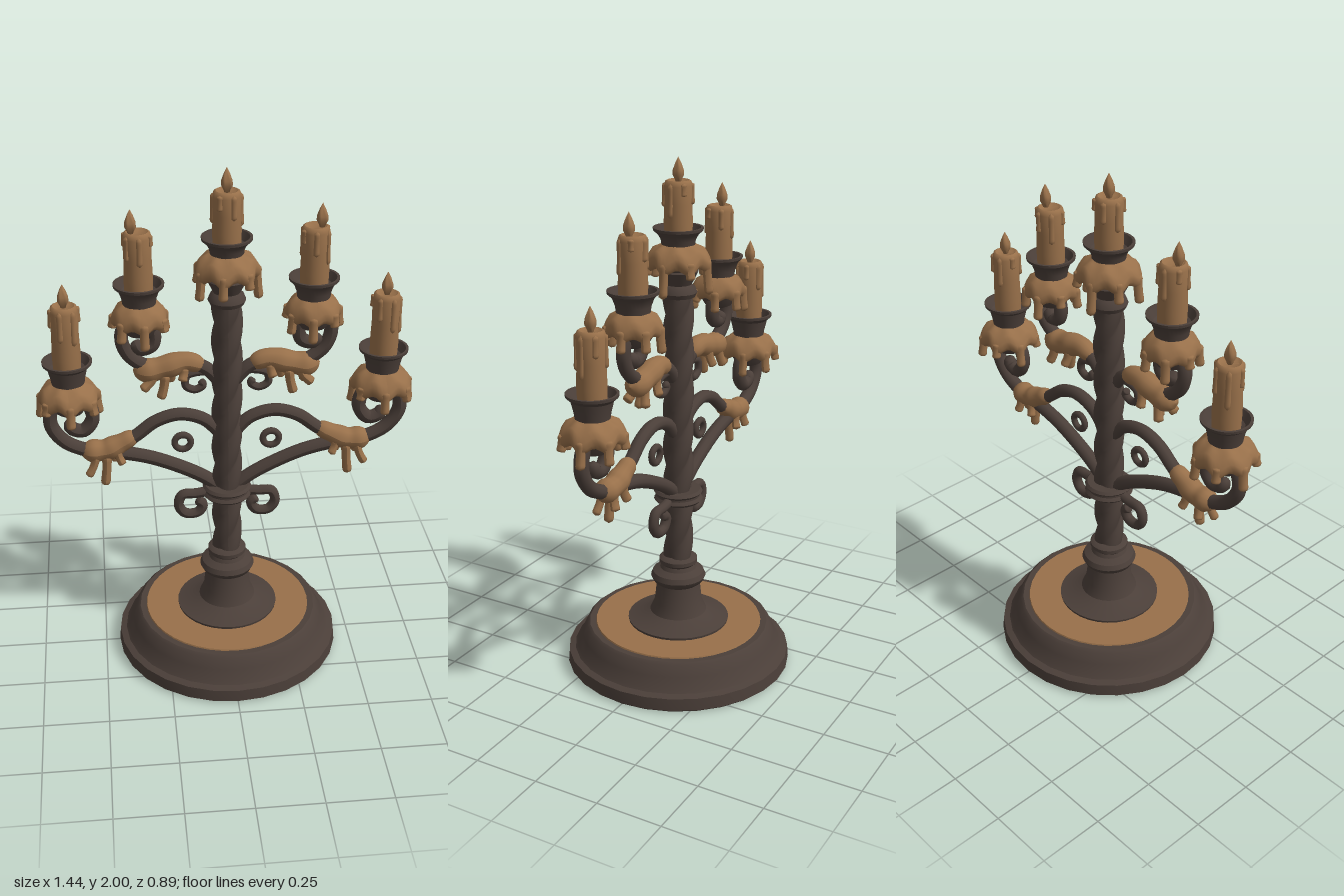
import * as THREE from 'three';
import { toCreasedNormals } from 'three/addons/utils/BufferGeometryUtils.js';

const iron = new THREE.MeshStandardMaterial({ color: 0x4b3f39 });
iron.name = 'dark iron';
const wax = new THREE.MeshStandardMaterial({ color: 0x98704a });
wax.name = 'tan wax';

function add(parent, name, geometry, material, x = 0, y = 0, z = 0) {
  const mesh = new THREE.Mesh(geometry, material);
  mesh.name = name;
  mesh.position.set(x, y, z);
  parent.add(mesh);
  return mesh;
}

function lathe(profile, segments = 32, crease = 0.6) {
  const points = profile.map(([r, y]) => new THREE.Vector2(r, y));
  return toCreasedNormals(new THREE.LatheGeometry(points, segments), crease);
}

// Round tube through points, with its radius varied along the length
function sweep(points, radius, steps = 48, sides = 10) {
  const curve = new THREE.CatmullRomCurve3(points.map(([x, y, z = 0]) => new THREE.Vector3(x, y, z)));
  const geo = new THREE.TubeGeometry(curve, steps, 1, sides);
  const pos = geo.attributes.position;
  const p = new THREE.Vector3();
  for (let i = 0; i < pos.count; i++) {
    const t = Math.floor(i / (sides + 1)) / steps;
    const c = curve.getPointAt(t);
    p.fromBufferAttribute(pos, i).sub(c).multiplyScalar(radius(t)).add(c);
    pos.setXYZ(i, p.x, p.y, p.z);
  }
  geo.computeVertexNormals();
  return geo;
}

// Radius rule for a bar with rounded tips
const bar = (r, tip = 0.05) => (t) => {
  const e = Math.min(1, Math.min(t, 1 - t) / tip);
  return r * Math.sqrt(Math.max(0, 1 - (1 - e) ** 2));
};
// Radius rule for a drip that swells towards its end
const dripRadius = (r) => (t) => bar(r, 0.15)(t) * (1.15 - 0.7 * t + 0.65 * t * t);

function drip(parent, from, to, r) {
  const mid = [(from[0] * 2 + to[0]) / 3, (from[1] + to[1]) / 2, (from[2] * 2 + to[2]) / 3];
  add(parent, 'waxDrip', sweep([from, mid, to], dripRadius(r), 14, 8), wax);
}

// Twisted rope-like stem
function twistedStem(bottom, top) {
  const h = top - bottom;
  const geo = new THREE.CylinderGeometry(1, 1, h, 30, 100, true);
  const pos = geo.attributes.position;
  for (let i = 0; i < pos.count; i++) {
    const a = Math.atan2(pos.getZ(i), pos.getX(i));
    const y = pos.getY(i);
    const r = 0.045 + 0.014 * Math.abs(Math.cos(1.5 * (a + y * 14)));
    pos.setXYZ(i, pos.getX(i) * r, y, pos.getZ(i) * r);
  }
  geo.computeVertexNormals();
  return geo;
}

// Uneven wax collar, scalloped around its edge
function waxCollar(radius, phase) {
  const k = radius / 0.12;
  const points = [[0.05, -0.085], [0.085, -0.085], [0.105, -0.09], [0.117, -0.075], [0.116, -0.05],
    [0.1, -0.025], [0.075, -0.01], [0.058, 0]].map(([r, y]) => new THREE.Vector2(r * k, y));
  const geo = new THREE.LatheGeometry(points, 48);
  const pos = geo.attributes.position;
  for (let i = 0; i < pos.count; i++) {
    const x = pos.getX(i), z = pos.getZ(i), r = Math.hypot(x, z);
    const a = Math.atan2(z, x);
    const w = Math.max(0, (r - 0.06) / 0.06);
    const wave = Math.cos(7 * a + phase);
    const s = 1 + w * 0.06 * wave;
    pos.setXYZ(i, x * s, pos.getY(i) - w * 0.014 * wave, z * s);
  }
  geo.computeVertexNormals();
  return geo;
}

// Cup, wax collar, candle and flame; y is the cup rim
function candleHolder(parent, name, x, y, cupDepth, top, o) {
  const g = new THREE.Group();
  g.name = name;
  g.position.set(x, y, 0);
  parent.add(g);
  const d = -cupDepth;
  add(g, 'cup', lathe([[0.025, d - 0.12], [0.05, d - 0.11], [0.082, d - 0.06], [0.085, d - 0.03], [0.06, d],
    [0.064, d + 0.03], [0.075, -0.025], [0.092, -0.01], [0.093, 0], [0.083, 0], [0.066, -0.03], [0.03, -0.045]]), iron);
  add(g, 'waxCollar', waxCollar(o.waxRadius, o.phase), wax, 0, d + 0.015);
  // Drips hang below the scallops
  for (let i = 0; i < 7; i++) {
    const a = (i * 2 * Math.PI - o.phase) / 7;
    const r = o.waxRadius * 0.96;
    const c = Math.cos(a) * r, s = Math.sin(a) * r;
    const len = o.drips[i % o.drips.length];
    drip(g, [c * 0.93, d - 0.035, s * 0.93], [c * 1.02, d - 0.07 - len, s * 1.02], 0.017);
  }
  // Candle with a softened top and runs of wax
  const h = top - y;
  add(g, 'candle', lathe([[0.05, -0.06], [0.053, 0.02], [0.05, h * 0.5], [0.052, h - 0.02], [0.047, h - 0.004],
    [0.04, h], [0.03, h - 0.006], [0, h - 0.008]], 24, 1), wax);
  for (let i = 0; i < 6; i++) {
    const a = i * 1.05 + o.phase, c = Math.cos(a) * 0.047, s = Math.sin(a) * 0.047;
    const end = h * (0.2 + 0.55 * ((i * 0.37 + o.phase * 0.2) % 1));
    drip(g, [c, h - 0.008, s], [c * 1.06, end, s * 1.06], 0.011);
  }
  add(g, 'flame', lathe([[0.008, -0.015], [0.012, 0], [0.021, 0.018], [0.02, 0.035], [0.011, 0.06], [0, 0.082]], 14, 2),
    wax, o.flameX || 0, h);
}

// Arms, scrolls and wax of one side; s is +1 or -1
function buildSide(s) {
  const g = new THREE.Group();
  g.name = s > 0 ? 'leftSide' : 'rightSide';
  const m = (pts) => pts.map(([x, y, z = 0]) => [x * s, y, z]);
  const rod = (name, pts, r, steps = 64) => add(g, name, sweep(m(pts), bar(r, 0.03), steps), iron);

  rod('lowerArm', [[0.02, 0.71], [0.09, 0.765], [0.18, 0.815], [0.3, 0.865], [0.42, 0.893], [0.53, 0.908], [0.62, 0.955],
    [0.665, 1.03], [0.65, 1.105], [0.59, 1.135], [0.525, 1.11], [0.507, 1.045], [0.545, 0.995], [0.59, 1.01], [0.59, 1.045]], 0.027, 110);
  rod('archArm', [[0.02, 0.95], [0.09, 1.02], [0.18, 1.045], [0.27, 1.02], [0.35, 0.96], [0.45, 0.9]], 0.025);
  rod('upperArm', [[0.02, 1.17], [0.08, 1.235], [0.15, 1.26], [0.22, 1.24], [0.3, 1.255], [0.365, 1.305], [0.388, 1.375],
    [0.365, 1.43], [0.31, 1.44], [0.27, 1.4], [0.275, 1.34], [0.32, 1.325], [0.34, 1.36]], 0.026, 100);
  rod('collarScroll', [[0.05, 0.7], [0.12, 0.69], [0.175, 0.685], [0.19, 0.64], [0.165, 0.602], [0.115, 0.603],
    [0.095, 0.638], [0.12, 0.662]], 0.02);
  rod('smallScroll', [[0.04, 1.215], [0.1, 1.22], [0.15, 1.205], [0.155, 1.165], [0.12, 1.147], [0.09, 1.165], [0.1, 1.185]], 0.015);
  add(g, 'ringOrnament', new THREE.TorusGeometry(0.031, 0.013, 10, 24), iron, 0.17 * s, 0.923);

  // Wax spilled over the arms
  const spill = (pts, r) => add(g, 'armWax', sweep(m(pts),
    (t) => bar(r, 0.3)(t) * (0.8 + 0.3 * t + 0.06 * Math.sin(t * 17)), 32, 14), wax);
  const runs = (list) => list.forEach(([a, b, r]) => drip(g, m([a])[0], m([b])[0], r));
  spill([[0.34, 0.968], [0.4, 0.935], [0.46, 0.908], [0.56, 0.905]], 0.044);
  runs([
    [[0.46, 0.9, 0.02], [0.472, 0.76, 0.02], 0.018],
    [[0.44, 0.9, -0.02], [0.425, 0.84, -0.035], 0.017],
    [[0.5, 0.9, 0.025], [0.535, 0.81, 0.035], 0.016],
    [[0.5, 0.9, -0.02], [0.51, 0.83, -0.035], 0.017],
    [[0.42, 0.91, 0.02], [0.4, 0.855, 0.035], 0.016],
  ]);
  spill([[0.08, 1.24], [0.15, 1.265], [0.22, 1.25], [0.29, 1.235], [0.35, 1.24]], 0.046);
  runs([
    [[0.23, 1.23, 0.02], [0.25, 1.125, 0.025], 0.018],
    [[0.27, 1.23, 0.02], [0.32, 1.17, 0.035], 0.019],
    [[0.28, 1.23, -0.02], [0.3, 1.15, -0.035], 0.018],
    [[0.2, 1.24, -0.02], [0.21, 1.17, -0.04], 0.017],
    [[0.16, 1.25, 0.02], [0.17, 1.2, 0.04], 0.017],
  ]);

  candleHolder(g, 'middleCandle', 0.318 * s, 1.585, 0.085, 1.78,
    { waxRadius: 0.105, phase: s > 0 ? 0.6 : 2.5, drips: [0.05, 0.02, 0.07], flameX: 0.022 * s });
  candleHolder(g, 'outerCandle', 0.59 * s, 1.29, 0.1, 1.51,
    { waxRadius: 0.117, phase: s > 0 ? 1.2 : 1.9, drips: [0.07, 0.03, 0.06, 0.02] });
  return g;
}

export function createModel() {
  const model = new THREE.Group();
  model.name = 'candelabra';

  // Stepped base with a ring of pooled wax
  add(model, 'base', lathe([[0, 0], [0.435, 0], [0.444, 0.008], [0.44, 0.055], [0.415, 0.063], [0.405, 0.075], [0.385, 0.115],
    [0.366, 0.155], [0.355, 0.164], [0.32, 0.164], [0, 0.164]], 28, 0.5), iron);
  add(model, 'baseWax', lathe([[0.332, 0.16], [0.328, 0.169], [0.18, 0.169]], 40), wax);
  add(model, 'foot', lathe([[0.198, 0.163], [0.2, 0.178], [0.15, 0.19], [0.112, 0.21], [0.094, 0.25], [0.085, 0.33], [0.098, 0.34],
    [0.108, 0.36], [0.1, 0.38], [0.072, 0.395], [0.065, 0.41], [0.075, 0.42], [0.075, 0.435], [0.06, 0.445], [0, 0.445]]), iron);

  // Stem and its collars
  add(model, 'stem', twistedStem(0.43, 1.52), iron, 0, 0.975);
  add(model, 'stemCollar', lathe([[0.04, 0.68], [0.085, 0.68], [0.094, 0.69], [0.085, 0.702], [0.085, 0.71], [0.094, 0.72],
    [0.085, 0.73], [0.04, 0.73]]), iron);
  add(model, 'topCollar', lathe([[0.04, 1.49], [0.062, 1.493], [0.07, 1.51], [0.062, 1.53], [0.05, 1.54], [0.075, 1.59], [0.05, 1.62]]), iron);

  candleHolder(model, 'centerCandle', 0, 1.75, 0.075, 1.92,
    { waxRadius: 0.12, phase: 0.1, drips: [0.1, 0.03, 0.06, 0.08, 0.05] });
  model.add(buildSide(1), buildSide(-1));
  return model;
}
